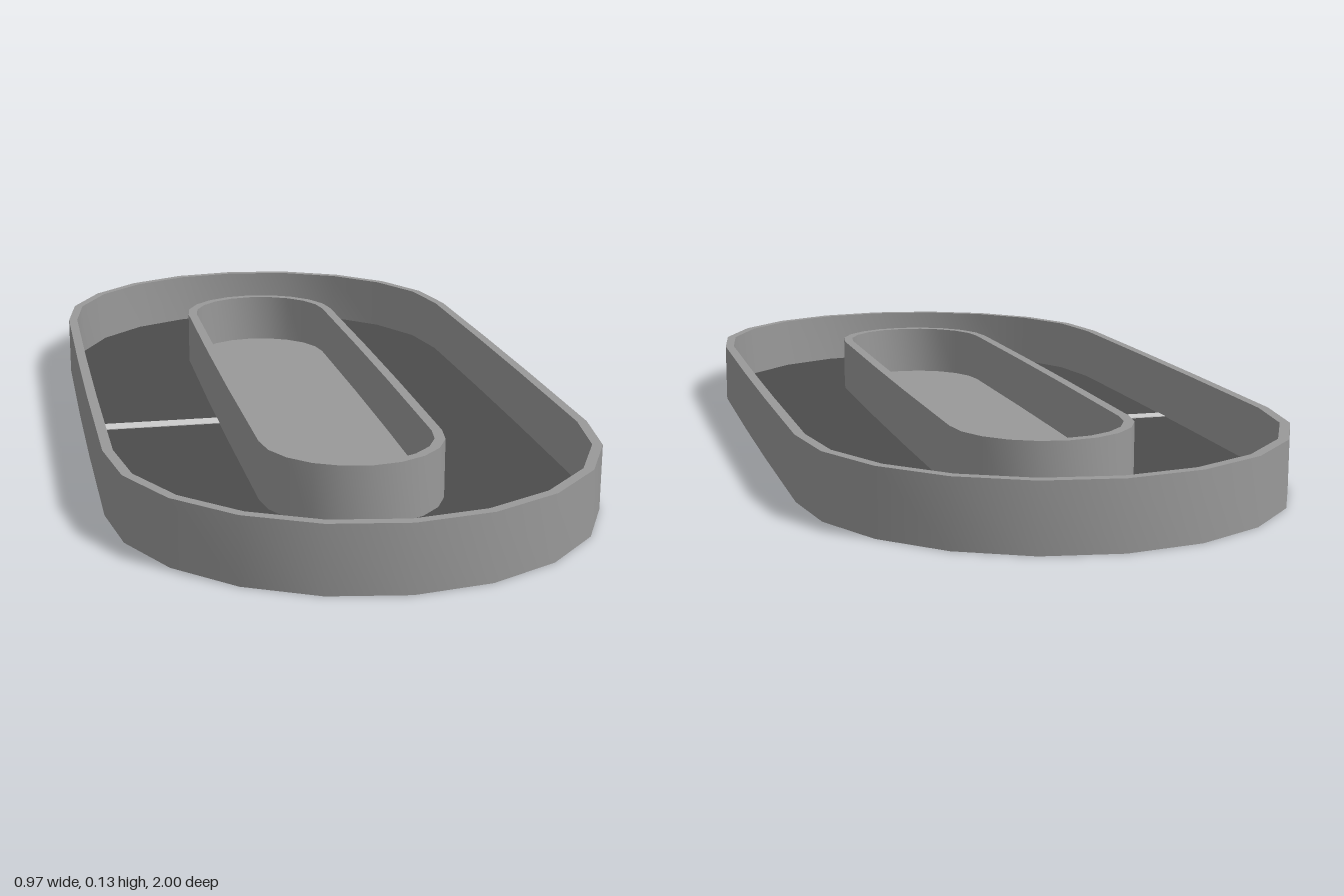
import * as THREE from 'three';
import { toCreasedNormals } from 'three/addons/utils/BufferGeometryUtils.js';

const END = 0.52;   // z of the centre of each rounded end
const STEPS = 10;   // segments per rounded end
const HEIGHT = 0.13;

// Stadium outline whose long sides bow out very slightly
function outline(radius) {
  const points = [];
  for (const side of [1, -1]) {
    for (let i = 0; i <= STEPS; i++) {
      const a = (i / STEPS) * Math.PI;
      points.push(new THREE.Vector2(side * radius * Math.cos(a), side * (END + radius * Math.sin(a))));
    }
    for (const y of [0.15, -0.15]) {
      points.push(new THREE.Vector2(-side * (radius + 0.003), side * y));
    }
  }
  return points;
}

// Flat slab between two heights, optionally with a stadium-shaped hole
function slab(name, material, radius, holeRadius, bottom, top) {
  const shape = new THREE.Shape(outline(radius));
  if (holeRadius) shape.holes.push(new THREE.Path(outline(holeRadius)));
  const extruded = new THREE.ExtrudeGeometry(shape, { depth: top - bottom, bevelEnabled: false });
  extruded.rotateX(-Math.PI / 2);
  extruded.translate(0, bottom, 0);
  const mesh = new THREE.Mesh(toCreasedNormals(extruded, 0.6), material);
  mesh.name = name;
  return mesh;
}

export function createModel() {
  const paint = (name, color) => {
    const material = new THREE.MeshStandardMaterial({ color });
    material.name = name;
    return material;
  };
  const concrete = paint('concrete grey', 0x999999);
  const asphalt = paint('asphalt grey', 0x4c4c4c);
  const white = paint('line pale grey', 0xcccccc);

  const group = new THREE.Group();
  group.name = 'ovalTrack';

  group.add(
    slab('outerWall', concrete, 0.48, 0.46, 0, HEIGHT),
    slab('innerWall', concrete, 0.182, 0.161, 0, HEIGHT),
    slab('trackSurface', asphalt, 0.461, 0.181, 0.005, 0.011),
    slab('infield', concrete, 0.162, 0, 0.012, 0.018)
  );

  // Start line across the track, visible from above and below
  const line = new THREE.Mesh(new THREE.BoxGeometry(0.28, 0.009, 0.04), white);
  line.name = 'startLine';
  line.position.set(-0.323, 0.008, 0);
  group.add(line);

  return group;
}
